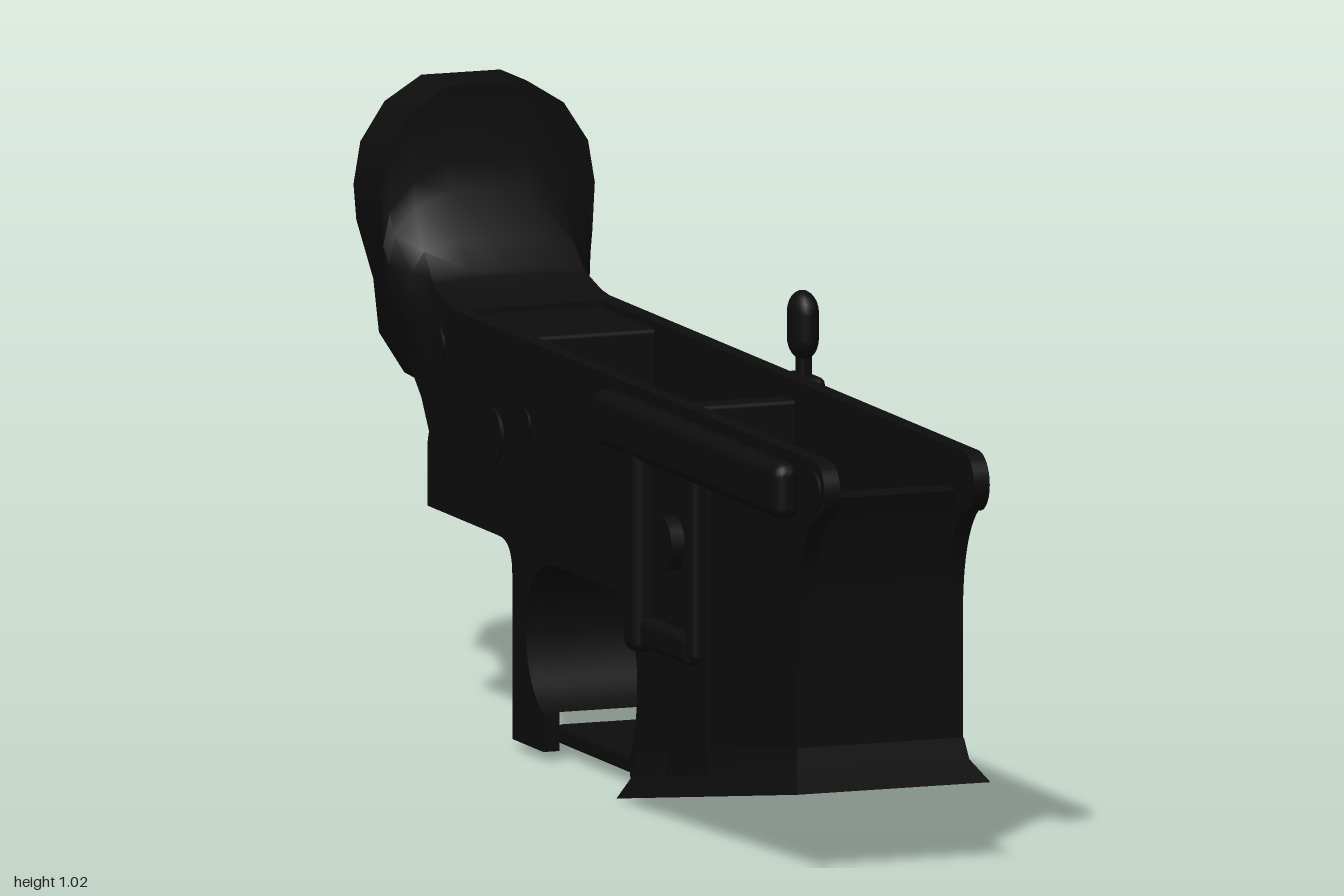
import * as THREE from 'three';
import { RoundedBoxGeometry } from 'three/addons/geometries/RoundedBoxGeometry.js';
import { toCreasedNormals } from 'three/addons/utils/BufferGeometryUtils.js';

const black = new THREE.MeshStandardMaterial({ color: 0x0d0d0d, side: THREE.DoubleSide });
black.name = 'matte black';

export function createModel() {
  const model = new THREE.Group();

  const add = (name, geometry, x = 0, y = 0, z = 0) => {
    const mesh = new THREE.Mesh(geometry, black);
    mesh.name = name;
    mesh.position.set(x, y, z);
    model.add(mesh);
    return mesh;
  };
  // side outline in (z, y), extruded from x0 to x1
  const slab = (name, shape, x0, x1) => {
    const g = new THREE.ExtrudeGeometry(shape, { depth: x1 - x0, bevelEnabled: false, curveSegments: 10 });
    g.rotateY(-Math.PI / 2);
    return add(name, toCreasedNormals(g, 0.6), x1);
  };
  // box given by its limits
  const box = (name, x0, x1, y0, y1, z0, z1, r = 0.008) =>
    add(name, new RoundedBoxGeometry(x1 - x0, y1 - y0, z1 - z0, 2, r),
      (x0 + x1) / 2, (y0 + y1) / 2, (z0 + z1) / 2);
  // disc lying on a side face
  const disc = (name, r, x0, x1, y, z) =>
    add(name, new THREE.CylinderGeometry(r, r, x1 - x0, 20).rotateZ(Math.PI / 2), (x0 + x1) / 2, y, z);
  // skin through equal-length rings of [x, y, z]
  const loft = (name, rings, closedEnds) => {
    const n = rings[0].length, index = [];
    for (let i = 0; i < rings.length - 1; i++)
      for (let j = 0; j < n; j++) {
        const a = i * n + j, b = i * n + (j + 1) % n;
        index.push(a, b, a + n, b, b + n, a + n);
      }
    if (closedEnds) {
      const last = (rings.length - 1) * n;
      for (let j = 1; j < n - 1; j++) index.push(0, j + 1, j, last, last + j, last + j + 1);
    }
    const g = new THREE.BufferGeometry();
    g.setAttribute('position', new THREE.Float32BufferAttribute(rings.flat(2), 3));
    g.setIndex(index);
    return add(name, toCreasedNormals(g, 0.6));
  };

  // rear edge, round window and rear post, shared by walls and core
  const lowerEdge = (s, footY) => {
    s.lineTo(0.11, 0.05);
    s.quadraticCurveTo(0.16, 0.1, 0.16, 0.2);
    s.quadraticCurveTo(0.15, 0.335, 0.03, 0.335);
    s.lineTo(-0.21, 0.335);
    s.quadraticCurveTo(-0.34, 0.32, -0.34, 0.2);
    s.quadraticCurveTo(-0.33, 0.11, -0.26, 0.08);
    s.lineTo(-0.26, footY);
    s.lineTo(-0.4, footY);
    s.lineTo(-0.4, 0.29);
    s.quadraticCurveTo(-0.4, 0.345, -0.46, 0.345);
    s.lineTo(-0.78, 0.345);
  };

  // side walls with rounded front lugs
  const wall = new THREE.Shape();
  wall.moveTo(0.95, 0.69);
  wall.absarc(0.95, 0.64, 0.05, Math.PI / 2, -Math.PI / 2 - 0.3, false);
  return finish(wall);

  function finish() {
    const side = new THREE.Shape();
    side.moveTo(-0.7, 0.69);
    side.lineTo(0.9, 0.69);
    side.lineTo(0.95, 0.69);
    side.absarc(0.95, 0.64, 0.05, Math.PI / 2, -Math.PI / 2, true);
    side.quadraticCurveTo(0.885, 0.54, 0.88, 0.42);
    side.lineTo(0.88, 0.16);
    side.lineTo(0.15, 0.03);
    lowerEdge(side, 0.015);
    side.lineTo(-0.78, 0.45);
    side.lineTo(-0.7, 0.69);
    for (const [name, x0] of [['leftWall', 0.118], ['rightWall', -0.146]]) slab(name, side, x0, x0 + 0.028);

    // solid rear core with a shallow tray on top
    const core = new THREE.Shape();
    core.moveTo(-0.76, 0.55);
    core.lineTo(0.21, 0.55);
    core.lineTo(0.21, 0.04);
    core.lineTo(0.15, 0.03);
    lowerEdge(core, 0.08);
    core.lineTo(-0.76, 0.55);
    slab('core', core, -0.12, 0.12);
    box('trayStep', -0.12, 0.12, 0.5, 0.66, 0.16, 0.21);
    box('trayRearBlock', -0.12, 0.12, 0.5, 0.68, -0.72, -0.42);
    box('trayPlate', -0.045, 0.045, 0.54, 0.558, -0.25, -0.05, 0.004);

    // front wall of the open box section
    const front = new THREE.Shape();
    front.moveTo(0.86, 0.62);
    front.lineTo(0.92, 0.62);
    front.quadraticCurveTo(0.885, 0.53, 0.88, 0.42);
    front.lineTo(0.88, 0.16);
    front.lineTo(0.86, 0.157);
    slab('frontWall', front, -0.12, 0.12);

    // flared skirt following the sloping lower rim
    const rim = (w, zf, yf, zb, yb) => [[-w, yf, zf], [w, yf, zf], [w, yb, zb], [-w, yb, zb]];
    loft('flaredSkirt', [
      rim(0.147, 0.881, 0.2, 0.158, 0.08), rim(0.153, 0.89, 0.165, 0.155, 0.04),
      rim(0.171, 0.94, 0.133, 0.13, 0.0), rim(0.12, 0.86, 0.155, 0.21, 0.04),
    ], false);
    // raised panels on the box section
    for (const s of [-1, 1]) {
      const a = s > 0 ? 0.14 : -0.154, b = a + 0.014;
      const panel = new THREE.Shape();
      [[0.49, 0.67], [0.49, 0.095], [0.31, 0.065], [0.31, 0.37], [0.07, 0.37], [0.05, 0.4], [0.05, 0.67]]
        .forEach(([z, y], i) => (i ? panel.lineTo(z, y) : panel.moveTo(z, y)));
      slab('sidePanel', panel, a, b);
    }

    // bow under the window
    box('lowerBow', -0.1, 0.1, 0.018, 0.05, -0.32, 0.13);
    for (const s of [-1, 1]) disc('bowEar', 0.03, s * 0.11 - 0.025, s * 0.11 + 0.025, 0.035, 0.13);

    // neck sweeping up into the flared rear plate
    const ring = [[0, 1.025], [0.07, 1.025], [0.135, 0.985], [0.178, 0.92], [0.19, 0.85],
      [0.185, 0.79], [0.155, 0.69], [0.145, 0.6], [0.1, 0.53], [0, 0.51]];
    const block = [[0, 1], [0.5, 1], [1, 1], [1, 0.9], [1, 0.75], [1, 0.55], [1, 0.4], [1, 0.2], [0.9, 0], [0, 0]];
    // z, top, bottom, half width, share of the rear outline
    const stations = [[-0.66, 0.69, 0.345, 0.14, 0], [-0.72, 0.698, 0.345, 0.141, 0.05],
      [-0.778, 0.72, 0.345, 0.145, 0.2], [-0.79, 0.73, 0.39, 0.147, 0.3], [-0.83, 0.775, 0.46, 0.16, 0.6],
      [-0.87, 0.85, 0.498, 0.178, 0.9], [-0.88, 0.9, 0.502, 0.185, 1], [-0.881, 1.025, 0.505, 0.19, 1],
      [-1, 1.025, 0.51, 0.19, 1]];
    loft('rearNeck', stations.map(([z, top, bottom, w, k]) => {
      const half = ring.map(([rx, ry], i) => [
        THREE.MathUtils.lerp(block[i][0] * w, rx * w / 0.19, k),
        bottom + (top - bottom) * THREE.MathUtils.lerp(block[i][1], (ry - 0.51) / 0.515, k), z]);
      const other = half.slice(1, -1).reverse().map(([x, y, zz]) => [-x, y, zz]);
      return [...half, ...other];
    }), true);

    // fence rail and post on the right side
    box('fenceRail', -0.187, -0.14, 0.58, 0.675, 0.05, 0.885, 0.022);
    box('fencePost', -0.187, -0.14, 0.26, 0.64, 0.19, 0.25, 0.018);
    box('fenceFoot', -0.175, -0.14, 0.27, 0.32, 0.2, 0.45, 0.012);
    box('fenceFront', -0.175, -0.14, 0.28, 0.62, 0.44, 0.48, 0.012);
    add('roundButton', new THREE.CylinderGeometry(0.045, 0.045, 0.03, 20).rotateZ(Math.PI / 2), -0.163, 0.46, 0.35);

    // paddle with a knob on the left side
    box('paddle', 0.14, 0.178, 0.62, 0.69, 0.09, 0.19, 0.012);
    box('paddleStem', 0.145, 0.168, 0.56, 0.75, 0.125, 0.155, 0.008);
    const knob = add('paddleKnob', new THREE.CapsuleGeometry(0.038, 0.04, 6, 16), 0.155, 0.772, 0.14);
    knob.scale.x = 0.65;
    disc('paddlePivot', 0.02, 0.14, 0.185, 0.585, 0.14);

    // lever and small fittings on the left side
    disc('leverHub', 0.055, 0.13, 0.165, 0.51, -0.48);
    box('leverArm', 0.14, 0.172, 0.495, 0.545, -0.68, -0.47, 0.012);
    box('sideBar', 0.14, 0.166, 0.45, 0.49, 0.33, 0.47, 0.012);
    disc('sideBarEnd', 0.035, 0.14, 0.164, 0.46, 0.4);

    // flat round caps on both sides
    for (const [z, y, r] of [[0.95, 0.64, 0.035], [-0.34, 0.55, 0.025], [-0.73, 0.62, 0.032]])
      for (const s of [-1, 1]) disc('roundCap', r, s * 0.144 - 0.006, s * 0.144 + 0.006, y, z);
    disc('rightHubCap', 0.045, -0.152, -0.13, 0.51, -0.48);
    return model;
  }
}
